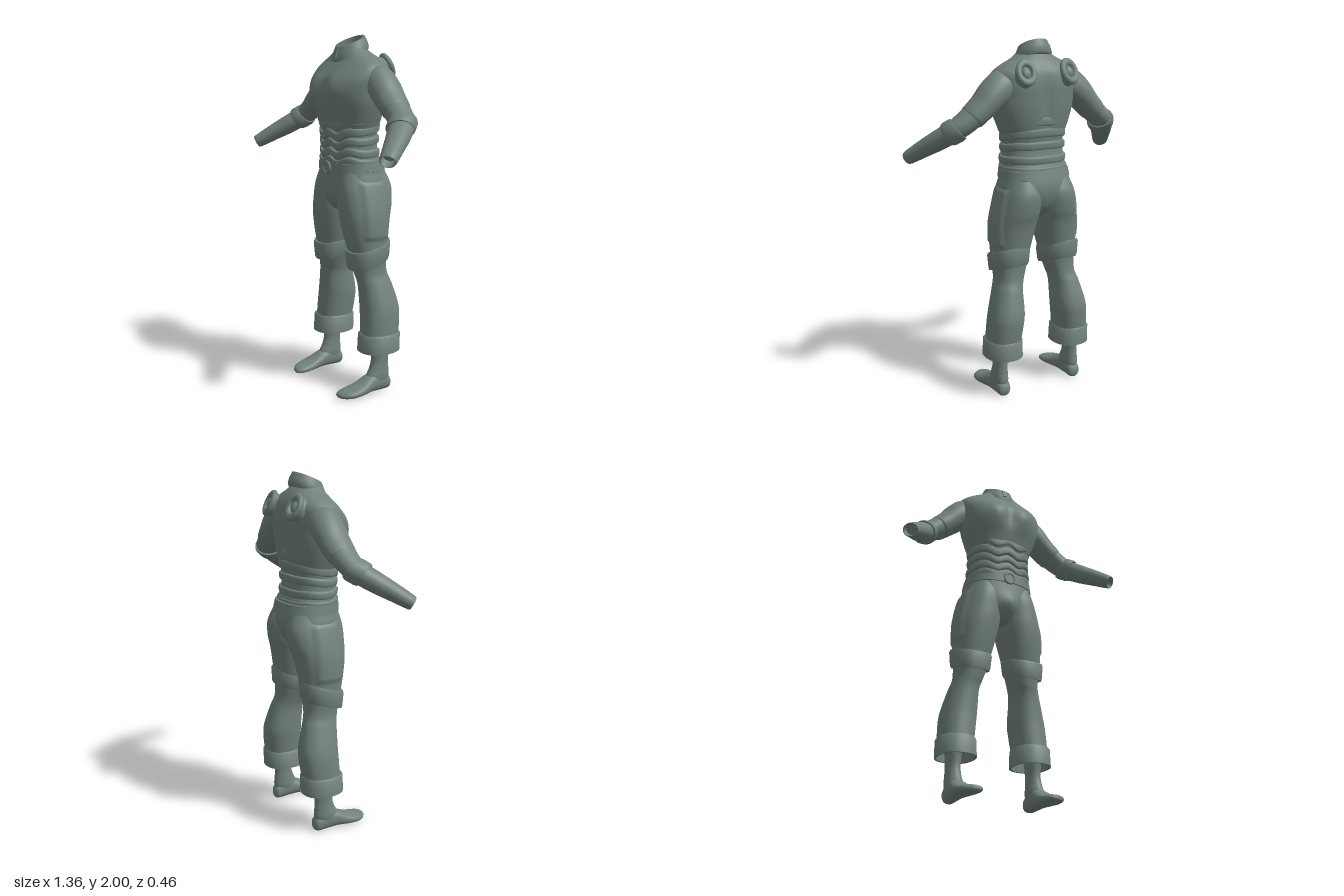
import * as THREE from 'three';
import { toCreasedNormals } from 'three/addons/utils/BufferGeometryUtils.js';

const cloth = new THREE.MeshStandardMaterial({ color: 0x72827b });
const V = (x, y, z) => new THREE.Vector3(x, y, z);
const step = THREE.MathUtils.smoothstep;
const bump = (v, c, w) => Math.exp(-(((v - c) / w) ** 2));
const pw = (c, p) => Math.sign(c) * Math.abs(c) ** (2 / p);

// Catmull-Rom refinement of key sections (sub = 1 keeps them straight)
function refine(keys, sub) {
  if (sub === 1) return keys;
  const out = [], at = i => keys[Math.min(Math.max(i, 0), keys.length - 1)];
  for (let i = 0; i < keys.length - 1; i++)
    for (let j = 0; j < sub; j++) {
      const t = j / sub, a = at(i - 1), b = at(i), c = at(i + 1), d = at(i + 2);
      out.push(b.map((_, n) => 0.5 * (2 * b[n] + (c[n] - a[n]) * t
        + (2 * a[n] - 5 * b[n] + 4 * c[n] - d[n]) * t * t
        + (3 * b[n] - a[n] - 3 * c[n] + d[n]) * t * t * t)));
    }
  out.push(at(keys.length - 1));
  return out;
}

// Capped skin through sections; place(key, angle) gives each point
function loft(keys, place, sub = 6, seg = 48) {
  const rings = refine(keys, sub).map(k =>
    Array.from({ length: seg }, (_, j) => place(k, (j / seg) * Math.PI * 2)));
  const pts = rings.flat(), idx = [], n = rings.length;
  for (let i = 0; i < n - 1; i++)
    for (let j = 0; j < seg; j++) {
      const a = i * seg + j, b = i * seg + (j + 1) % seg;
      idx.push(a, a + seg, b, b, a + seg, b + seg);
    }
  for (const [i, flip] of [[0, false], [n - 1, true]]) {
    const mid = rings[i].reduce((s, p) => s.add(p), V(0, 0, 0)).divideScalar(seg);
    const m = pts.push(mid) - 1;
    for (let j = 0; j < seg; j++) {
      const a = i * seg + j, b = i * seg + (j + 1) % seg;
      idx.push(...(flip ? [m, b, a] : [m, a, b]));
    }
  }
  // turn the skin outward if its enclosed volume is negative
  let vol = 0;
  for (let i = 0; i < idx.length; i += 3)
    vol += pts[idx[i]].dot(pts[idx[i + 1]].clone().cross(pts[idx[i + 2]]));
  if (vol < 0) idx.reverse();
  const g = new THREE.BufferGeometry().setFromPoints(pts);
  g.setIndex(idx);
  return finish(g);
}

function finish(g) {
  g.scale(100, 100, 100);
  const c = toCreasedNormals(g, 0.85);
  return c.scale(0.01, 0.01, 0.01);
}

function mirror(geo) {
  const g = geo.clone().scale(-1, 1, 1);
  for (const a of [g.attributes.position, g.attributes.normal])
    for (let i = 0; i < a.count; i += 3)
      for (let c = 0; c < 3; c++) {
        const t = a.getComponent(i + 1, c);
        a.setComponent(i + 1, c, a.getComponent(i + 2, c));
        a.setComponent(i + 2, c, t);
      }
  return g;
}

// Level section [y, x0, x1, zBack, zFront]
const level = (p, tilt = 0) => ([y, x0, x1, zb, zf], a) => {
  const x = (x0 + x1) / 2 + (x1 - x0) / 2 * pw(Math.cos(a), p);
  const z = (zb + zf) / 2 + (zf - zb) / 2 * pw(Math.sin(a), p);
  return V(x, y - tilt * z, z);
};
const sym = rows => rows.map(([y, w, zb, zf]) => [y, -w, w, zb, zf]);

// Arm section [x, y, z, depth radius, height radius], square to the limb
function armPlace([x, y, z, ru, rv], a) {
  const T = V(0.245, -0.22, 0.03).normalize()
    .lerp(V(0.175, -0.165, 0.235).normalize(), step(x, 0.38, 0.56)).normalize();
  const u = T.clone().cross(V(0, 1, 0)).normalize(), v = u.clone().cross(T);
  return V(x, y, z).addScaledVector(u, ru * Math.cos(a)).addScaledVector(v, rv * Math.sin(a));
}

export function createModel() {
  const root = new THREE.Group();
  root.name = 'clothedBody';
  const add = (name, geo) => {
    const m = new THREE.Mesh(geo, cloth);
    m.name = name;
    root.add(m);
    return m;
  };
  const pair = (name, geo) => {
    add('left' + name, geo);
    add('right' + name, mirror(geo));
  };

  // Torso with chest muscles and a spine groove
  const torsoRows = sym([
    [1.28, 0.185, -0.19, 0.1], [1.4, 0.178, -0.163, 0.093], [1.47, 0.178, -0.168, 0.1],
    [1.55, 0.207, -0.185, 0.122], [1.63, 0.234, -0.196, 0.148], [1.7, 0.245, -0.2, 0.156],
    [1.76, 0.255, -0.2, 0.135], [1.82, 0.25, -0.19, 0.085], [1.86, 0.205, -0.17, 0.052],
    [1.9, 0.125, -0.14, 0.035], [1.93, 0.085, -0.11, 0.03]]);
  const torsoBase = level(2.3);
  add('torso', loft(torsoRows, (k, a) => {
    const p = torsoBase(k, a), c = bump(p.x, 0, 0.035);
    if (p.z > 0) p.z += bump(p.y, 1.69, 0.08) * (0.012 * bump(Math.abs(p.x), 0.1, 0.05) - 0.022 * c);
    else p.z += 0.015 * c * bump(p.y, 1.68, 0.13);
    return p;
  }, 8, 80));

  // Wavy ribbed bands round the waist: [front y, half width, zBack, zFront, rise to back, height]
  const bands = [
    [1.515, 0.196, -0.187, 0.115, 0.05, 0.05], [1.455, 0.187, -0.183, 0.112, 0.05, 0.05],
    [1.405, 0.187, -0.178, 0.108, 0.03, 0.045], [1.355, 0.192, -0.18, 0.108, 0, 0.045],
    [1.31, 0.194, -0.192, 0.11, -0.01, 0.04]];
  for (const [y, w, zb, zf, rise, h] of bands) {
    const at = level(2.3);
    const rows = sym([[y - h / 2, w - 0.02, zb + 0.02, zf - 0.02], [y - h * 0.42, w - 0.004, zb + 0.004, zf - 0.004],
      [y, w, zb, zf], [y + h * 0.42, w - 0.003, zb + 0.003, zf - 0.003], [y + h / 2, w - 0.02, zb + 0.02, zf - 0.02]]);
    add('waistBand', loft(rows, (k, a) => {
      const p = at(k, a), back = (1 - Math.sin(a)) / 2;
      p.y += rise * back + (1 - back) * 0.012 * Math.cos(p.x * 45);
      return p;
    }, 4, 72));
  }

  // Stand-up collar, higher at the back, hollow inside
  add('collar', loft([[1.885, 0.1], [1.9, 0.104], [1.93, 0.096], [1.958, 0.083], [1.965, 0.08], [1.965, 0.07], [1.9, 0.075]],
    ([y, r], a) => {
      const z = r * Math.sin(a);
      return V(r * Math.cos(a), y - 0.42 * z, z - 0.04);
    }, 1));
  const clasp = add('collarClasp', new THREE.BoxGeometry(0.022, 0.05, 0.012));
  clasp.position.set(0, 1.895, 0.055);
  clasp.rotation.x = -0.3;

  // Hips and crotch
  const hipBase = level(2.4);
  add('hips', loft(sym([[1.33, 0.184, -0.18, 0.1], [1.25, 0.2, -0.207, 0.105], [1.18, 0.212, -0.212, 0.105],
    [1.1, 0.17, -0.185, 0.095], [1.04, 0.08, -0.13, 0.06], [1.02, 0.03, -0.08, 0.01]]), (k, a) => {
    const p = hipBase(k, a);
    if (p.z > 0) p.z += 0.018 * bump(p.x, 0, 0.05) * bump(p.y, 1.13, 0.05);
    return p;
  }));
  // Trouser waistband and round buckle
  add('belt', loft(sym([[1.25, 0.19, -0.19, 0.09], [1.255, 0.203, -0.213, 0.111], [1.3, 0.196, -0.202, 0.111],
    [1.305, 0.18, -0.18, 0.09]]), level(2.4), 1));
  const disc = add('buckle', new THREE.CylinderGeometry(0.028, 0.03, 0.02, 24));
  disc.rotation.x = Math.PI / 2;
  disc.position.set(0, 1.275, 0.112);
  add('buckleRim', new THREE.TorusGeometry(0.031, 0.007, 8, 28)).position.set(0, 1.275, 0.12);

  // Trouser legs with a raised side pocket
  const legBase = level(2.3);
  pair('TrouserLeg', loft([[1.25, 0.01, 0.19, -0.19, 0.085], [1.17, 0, 0.218, -0.222, 0.104], [1.08, 0, 0.242, -0.214, 0.105],
    [1, 0.012, 0.256, -0.19, 0.1], [0.9, 0.035, 0.26, -0.17, 0.083], [0.8, 0.06, 0.258, -0.154, 0.06],
    [0.74, 0.075, 0.252, -0.15, 0.048], [0.68, 0.095, 0.252, -0.155, 0.036], [0.62, 0.11, 0.27, -0.175, 0.024],
    [0.5, 0.112, 0.303, -0.206, 0.018], [0.42, 0.12, 0.314, -0.206, 0.02], [0.3, 0.135, 0.32, -0.19, 0.025]],
  (k, a) => {
    const p = legBase(k, a);
    const inY = step(p.y, 0.88, 0.9) * (1 - step(p.y, 1.19, 1.21));
    const inZ = step(p.z, -0.13, -0.115) * (1 - step(p.z, 0.02, 0.04));
    if (p.x > 0.17) p.x += 0.011 * inY * inZ;
    return p;
  }, 8, 64));

  // Slanted knee cuffs and turned-up hems
  pair('KneeCuff', loft([[0.83, 0.08, 0.245, -0.14, 0.045], [0.83, 0.055, 0.27, -0.166, 0.072], [0.815, 0.05, 0.275, -0.17, 0.076],
    [0.74, 0.06, 0.268, -0.166, 0.07], [0.727, 0.066, 0.264, -0.16, 0.066], [0.73, 0.09, 0.24, -0.14, 0.04]], level(2.4, 0.3), 1));
  pair('TrouserHem', loft([[0.335, 0.15, 0.3, -0.17, 0.01], [0.345, 0.13, 0.322, -0.197, 0.03], [0.335, 0.122, 0.33, -0.203, 0.038],
    [0.24, 0.118, 0.332, -0.2, 0.042], [0.24, 0.13, 0.32, -0.188, 0.03], [0.31, 0.135, 0.315, -0.185, 0.025]], level(2.3), 1));

  // Ankles and bare feet
  pair('Ankle', loft([[0.32, 0.19, 0.29, -0.14, -0.01], [0.2, 0.202, 0.279, -0.13, -0.022], [0.14, 0.2, 0.282, -0.132, -0.01],
    [0.09, 0.196, 0.286, -0.136, 0.015], [0.04, 0.205, 0.275, -0.125, 0.01]], level(2), 6, 32));
  // foot sections run heel to toe: [z, x0, x1, y0, y1]
  pair('Foot', loft([[-0.142, 0.225, 0.255, 0.025, 0.06], [-0.125, 0.203, 0.277, 0.004, 0.085], [-0.06, 0.198, 0.284, 0.004, 0.115],
    [0.0, 0.192, 0.292, 0.008, 0.105], [0.06, 0.185, 0.302, 0.006, 0.076], [0.12, 0.18, 0.302, 0.004, 0.056],
    [0.165, 0.182, 0.285, 0.005, 0.046], [0.192, 0.195, 0.255, 0.008, 0.036], [0.2, 0.21, 0.235, 0.016, 0.028]],
  ([z, x0, x1, y0, y1], a) => V((x0 + x1) / 2 + (x1 - x0) / 2 * pw(Math.cos(a), 2.3), (y0 + y1) / 2 + (y1 - y0) / 2 * pw(Math.sin(a), 2.3), z), 6, 32));

  // Short sleeves, forearms with hollow wrists, elbow cuffs
  pair('Sleeve', loft([[0.13, 1.8, -0.07, 0.06, 0.06], [0.2, 1.765, -0.07, 0.085, 0.085], [0.27, 1.71, -0.069, 0.092, 0.082],
    [0.33, 1.65, -0.066, 0.088, 0.072], [0.385, 1.6, -0.06, 0.082, 0.067], [0.39, 1.596, -0.06, 0.07, 0.06]], armPlace));
  pair('Forearm', loft([[0.35, 1.635, -0.063, 0.078, 0.064], [0.41, 1.582, -0.055, 0.075, 0.062], [0.47, 1.535, -0.033, 0.07, 0.058],
    [0.53, 1.48, 0.04, 0.064, 0.055], [0.59, 1.425, 0.122, 0.054, 0.047], [0.64, 1.376, 0.193, 0.045, 0.038],
    [0.641, 1.375, 0.195, 0.036, 0.03], [0.62, 1.395, 0.167, 0.034, 0.028]], armPlace));
  pair('ElbowCuff', loft([[0.458, 1.545, -0.045, 0.06, 0.05], [0.459, 1.544, -0.043, 0.077, 0.066], [0.468, 1.535, -0.035, 0.08, 0.069],
    [0.49, 1.515, -0.006, 0.078, 0.068], [0.498, 1.508, 0.002, 0.073, 0.063], [0.497, 1.509, 0.001, 0.055, 0.05]], armPlace, 1));

  // Oval shoulder-blade pads with a domed centre
  for (const s of [1, -1]) {
    const pad = new THREE.Group();
    pad.name = s > 0 ? 'leftBackPad' : 'rightBackPad';
    const rim = new THREE.Mesh(new THREE.TorusGeometry(0.042, 0.017, 12, 36), cloth);
    const base = new THREE.Mesh(new THREE.CylinderGeometry(0.042, 0.055, 0.04, 32), cloth);
    const dome = new THREE.Mesh(new THREE.SphereGeometry(0.024, 20, 12), cloth);
    rim.name = 'padRim'; base.name = 'padBase'; dome.name = 'padDome';
    rim.scale.set(1, 1.28, 1);
    base.rotation.x = Math.PI / 2;
    base.scale.z = 1.28;
    base.position.z = -0.02;
    dome.scale.set(1, 1.3, 0.6);
    pad.add(rim, base, dome);
    pad.position.set(s * 0.135, 1.828, -0.195);
    pad.lookAt(s * 0.135 + s * 0.15, 1.828 + 0.43, -0.195 - 0.9);
    root.add(pad);
  }
  return root;
}
